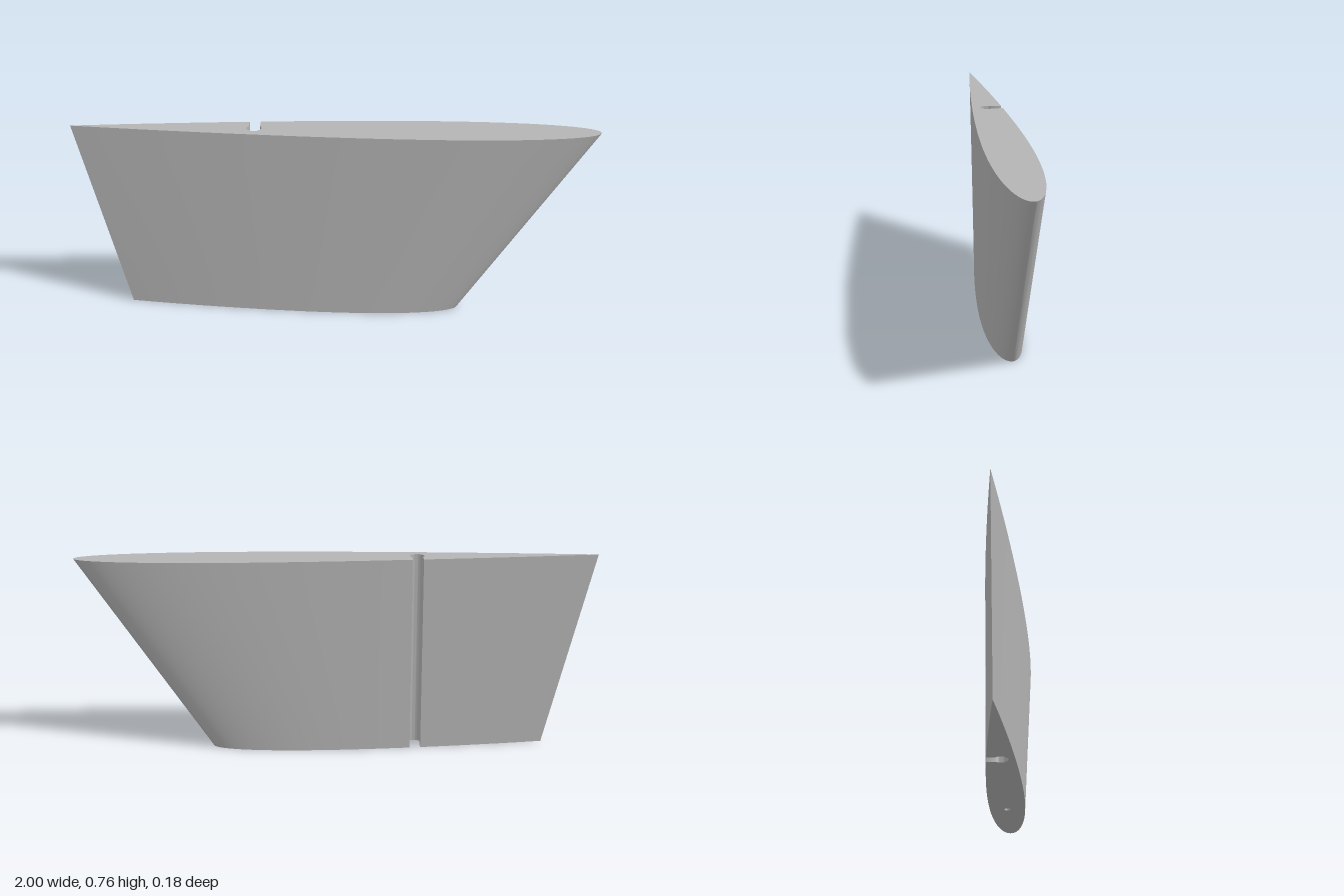
import * as THREE from 'three';
import { toCreasedNormals } from 'three/addons/utils/BufferGeometryUtils.js';

const HEIGHT = 0.76, LEVELS = 8, STEPS = 36;
const SLOT_X = -0.305, SLOT_HALF = 0.021, BORE = 0.028;
const PIN_X = 0.205, PIN_R = 0.012, PIN_DEPTH = 0.2;

// Symmetric aerofoil half thickness, t from nose (0) to tail (1), peak 1
const foil = t => 10 * (0.2969 * Math.sqrt(t) - 0.126 * t - 0.3516 * t ** 2 + 0.2843 * t ** 3 - 0.1036 * t ** 4);
const lerp = THREE.MathUtils.lerp;

// Counterclockwise outline seen from above, as (x, -z), at height fraction k
function outline(k) {
  const nose = lerp(0.485, 0.995, k), tail = lerp(-0.81, -1, k), half = lerp(0.071, 0.088, k);
  const pts = [];
  const skin = (t, side) => pts.push(new THREE.Vector2(lerp(nose, tail, t), side * half * foil(t)));
  const at = x => (nose - x) / (nose - tail);
  const tr = at(SLOT_X + SLOT_HALF), tl = at(SLOT_X - SLOT_HALF);
  // back skin, nose to slot
  for (let i = 0; i <= STEPS; i++) skin(tr * (1 - Math.cos(i / STEPS * Math.PI / 2)), 1);
  // slot and round bore
  const a = Math.acos(SLOT_HALF / BORE);
  for (let i = 0; i <= 28; i++) {
    const w = a - (Math.PI + 2 * a) * i / 28;
    pts.push(new THREE.Vector2(SLOT_X + BORE * Math.cos(w), BORE * Math.sin(w)));
  }
  // back skin, slot to tail
  for (let i = 0; i < 12; i++) skin(lerp(tl, 1, i / 12), 1);
  pts.push(new THREE.Vector2(tail, 0));
  // front skin, tail to nose
  for (let i = 1; i < 48; i++) skin((1 + Math.cos(i / 48 * Math.PI)) / 2, -1);
  return pts;
}

function finGeometry() {
  const pos = [];
  const tri = (...corners) => corners.forEach(([p, y]) => pos.push(p.x, y, -p.y));
  const wall = (lo, hi, y0, y1) => lo.forEach((p, i) => {
    const j = (i + 1) % lo.length;
    tri([p, y0], [lo[j], y0], [hi[j], y1]);
    tri([p, y0], [hi[j], y1], [hi[i], y1]);
  });
  const cap = (contour, holes, y, up) => {
    const all = [contour, ...holes].flat();
    THREE.ShapeUtils.triangulateShape(contour, holes).forEach(([a, b, c]) =>
      up ? tri([all[a], y], [all[b], y], [all[c], y]) : tri([all[a], y], [all[c], y], [all[b], y]));
  };
  // tapered skin
  for (let l = 0; l < LEVELS; l++) {
    const k0 = l / LEVELS, k1 = (l + 1) / LEVELS;
    wall(outline(k0), outline(k1), k0 * HEIGHT, k1 * HEIGHT);
  }
  // blind pin hole in the underside
  const pin = Array.from({ length: 20 }, (_, i) => new THREE.Vector2(
    PIN_X + PIN_R * Math.cos(-i / 10 * Math.PI), PIN_R * Math.sin(-i / 10 * Math.PI)));
  wall(pin, pin, 0, PIN_DEPTH);
  cap([...pin].reverse(), [], PIN_DEPTH, false);
  // end faces
  cap(outline(0), [pin], 0, false);
  cap(outline(1), [], HEIGHT, true);

  const geometry = new THREE.BufferGeometry();
  geometry.setAttribute('position', new THREE.Float32BufferAttribute(pos, 3));
  return toCreasedNormals(geometry, 0.6);
}

export function createModel() {
  const group = new THREE.Group();
  group.name = 'slottedFin';
  const grey = new THREE.MeshStandardMaterial({ color: 0xb4b4b4 });
  grey.name = 'light grey';
  const fin = new THREE.Mesh(finGeometry(), grey);
  fin.name = 'finBody';
  group.add(fin);
  return group;
}
